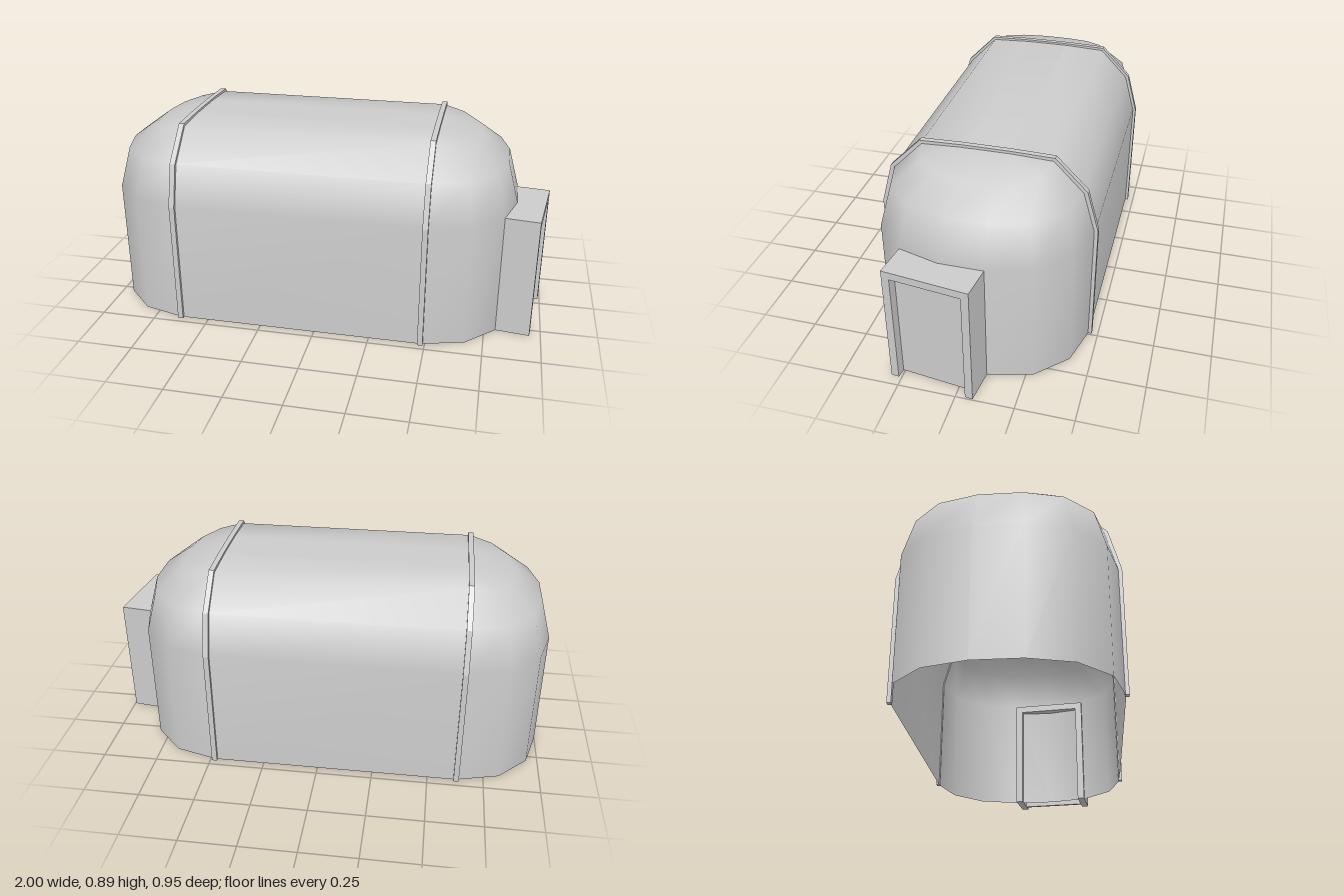
import * as THREE from 'three';

const material = new THREE.MeshStandardMaterial({ color: 0xcccccc, side: THREE.DoubleSide });
const CENTRE = -0.075, HALF = 0.555; // straight part of the hall along x

function addMesh(parent, name, geometry) {
  const mesh = new THREE.Mesh(geometry, material);
  mesh.name = name;
  parent.add(mesh);
  return mesh;
}

// Shell: the rounded plan outline repeated in rows that shrink towards the roof
function shellGeometry() {
  const quarter = [[0, 0.46], [0.19, 0.41], [0.32, 0.28], [0.37, 0.1]]; // [end depth, z]
  const rightEnd = [...quarter, ...quarter.map(([d, z]) => [d, -z]).reverse()];
  const plan = [
    ...rightEnd.map(([d, z]) => [1, d, z]),
    ...rightEnd.map(([d, z]) => [-1, d, z]).reverse(),
  ];
  const rows = [
    { y: 0, length: 1, width: 1, half: HALF, drop: 0 },
    { y: 0.56, length: 1, width: 1, half: HALF, drop: 0 },
    { y: 0.74, length: 0.865, width: 0.89, half: HALF, drop: 0 },
    { y: 0.873, length: 0.51, width: 0.61, half: HALF, drop: 0.038 },
    { y: 0.881, length: 0, width: 0.22, half: HALF, drop: 0 },
    { y: 0.881, length: 0, width: 0.22, half: 0, drop: 0 }, // closes the roof
  ];
  const positions = [], index = [], n = plan.length;
  rows.forEach((r, k) => plan.forEach(([side, d, z], i) => {
    positions.push(CENTRE + side * (r.half + d * r.length), r.y - r.drop * d / 0.37, z * r.width);
    if (k === rows.length - 1) return;
    const a = k * n + i, b = k * n + (i + 1) % n;
    index.push(a, b, b + n, a, b + n, a + n);
  }));
  const geometry = new THREE.BufferGeometry();
  geometry.setAttribute('position', new THREE.Float32BufferAttribute(positions, 3));
  geometry.setIndex(index);
  geometry.computeVertexNormals();
  return geometry;
}

// Band: thin arch following the hall's cross-section
function bandGeometry(width) {
  const outer = [[0.473, 0], [0.473, 0.56], [0.422, 0.746], [0.285, 0.885], [0.1, 0.89]];
  const inner = [[0.455, 0], [0.455, 0.56], [0.405, 0.737], [0.276, 0.868], [0.1, 0.876]];
  const arch = (half) => [...half, ...half.map(([z, y]) => [-z, y]).reverse()];
  const points = [...arch(outer), ...arch(inner).reverse()];
  const shape = new THREE.Shape(points.map(([z, y]) => new THREE.Vector2(z, y)));
  return new THREE.ExtrudeGeometry(shape, { depth: width, bevelEnabled: false })
    .translate(0, 0, -width / 2).rotateY(Math.PI / 2);
}

// Doorway: frame open at the floor, with a recessed panel
function createDoorway() {
  const door = new THREE.Group();
  door.name = 'doorway';
  const w = 0.373 / 2, h = 0.557, t = 0.034, depth = 0.17;
  const outline = [[-w, 0], [-w, h], [w, h], [w, 0], [w - t, 0], [w - t, h - t], [-w + t, h - t], [-w + t, 0]];
  const shape = new THREE.Shape(outline.map(([x, y]) => new THREE.Vector2(x, y)));
  addMesh(door, 'doorFrame', new THREE.ExtrudeGeometry(shape, { depth, bevelEnabled: false })
    .translate(0, 0, -depth));
  addMesh(door, 'doorPanel', new THREE.BoxGeometry(2 * (w - t), h - t, 0.015)
    .translate(0, (h - t) / 2, -0.05));
  door.position.set(0.973, 0, 0.112);
  door.rotation.y = Math.PI / 2 - 0.121; // set slightly askew
  return door;
}

export function createModel() {
  const model = new THREE.Group();
  model.name = 'shelter';
  addMesh(model, 'shell', shellGeometry());
  const band = bandGeometry(0.024);
  for (const [name, side] of [['rightBand', -1], ['leftBand', 1]]) {
    addMesh(model, name, band).position.x = CENTRE + side * HALF;
  }
  model.add(createDoorway());
  return model;
}
